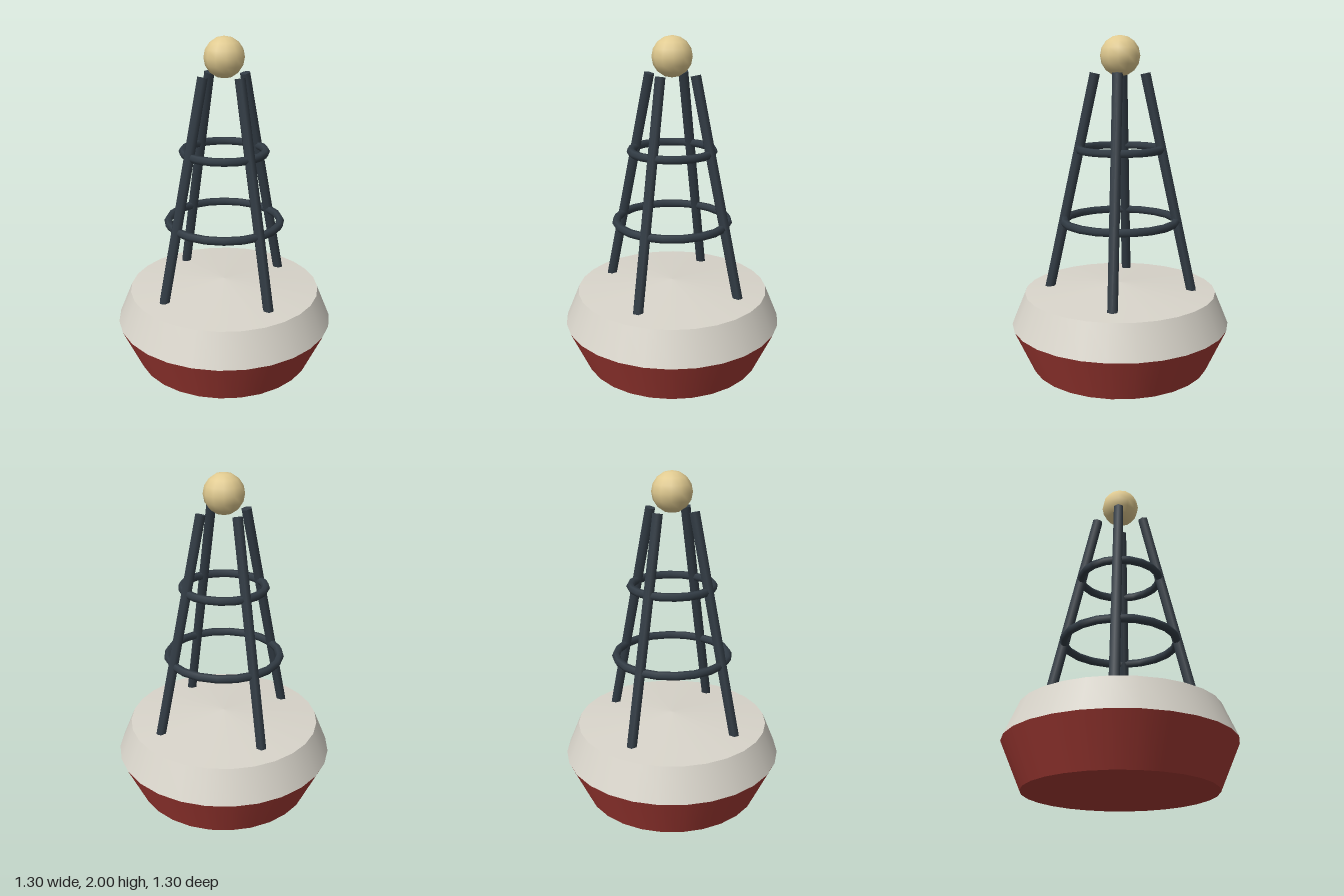
import * as THREE from 'three';

const mat = (name, color, side = THREE.FrontSide) => {
  const m = new THREE.MeshStandardMaterial({ color, side });
  m.name = name;
  return m;
};

export function createModel() {
  const red = mat('hull red', 0xa33a34, THREE.DoubleSide);
  const white = mat('deck white', 0xd8d4ca, THREE.DoubleSide);
  const steel = mat('dark steel', 0x323c45);
  const glow = mat('lamp yellow', 0xe0ca90);

  const group = new THREE.Group();
  group.name = 'buoy';
  const add = (name, geometry, material) => {
    const mesh = new THREE.Mesh(geometry, material);
    mesh.name = name;
    group.add(mesh);
    return mesh;
  };

  // Hull: one lathed band per profile segment, so the rims stay sharp
  const band = (name, r0, y0, r1, y1, material) =>
    add(name, new THREE.LatheGeometry([new THREE.Vector2(r0, y0), new THREE.Vector2(r1, y1)], 28), material);
  band('hullBottom', 0, 0, 0.535, 0.05, red);
  band('hullSide', 0.535, 0.05, 0.652, 0.31, red);
  band('upperSide', 0.652, 0.31, 0.572, 0.502, white);
  band('deck', 0.572, 0.502, 0, 0.547, white);

  // Four leaning tower legs
  const up = new THREE.Vector3(0, 1, 0);
  for (const [x, z] of [[1, 0], [0, 1], [-1, 0], [0, -1]]) {
    const foot = new THREE.Vector3(x * 0.43, 0.505, z * 0.43);
    const head = new THREE.Vector3(x * 0.145, 1.787, z * 0.145);
    const axis = head.clone().sub(foot);
    const leg = add('towerLeg', new THREE.CylinderGeometry(0.032, 0.032, axis.length(), 6), steel);
    leg.position.copy(foot).add(head).multiplyScalar(0.5);
    leg.quaternion.setFromUnitVectors(up, axis.normalize());
  }

  // Bracing rings
  for (const [name, radius, y] of [['lowerRing', 0.333, 0.93], ['upperRing', 0.239, 1.354]]) {
    const ring = add(name, new THREE.TorusGeometry(radius, 0.024, 6, 20), steel);
    ring.rotation.x = Math.PI / 2;
    ring.position.y = y;
  }

  // Lamp ball
  add('lamp', new THREE.SphereGeometry(0.115, 12, 8), glow).position.y = 1.885;

  return group;
}
